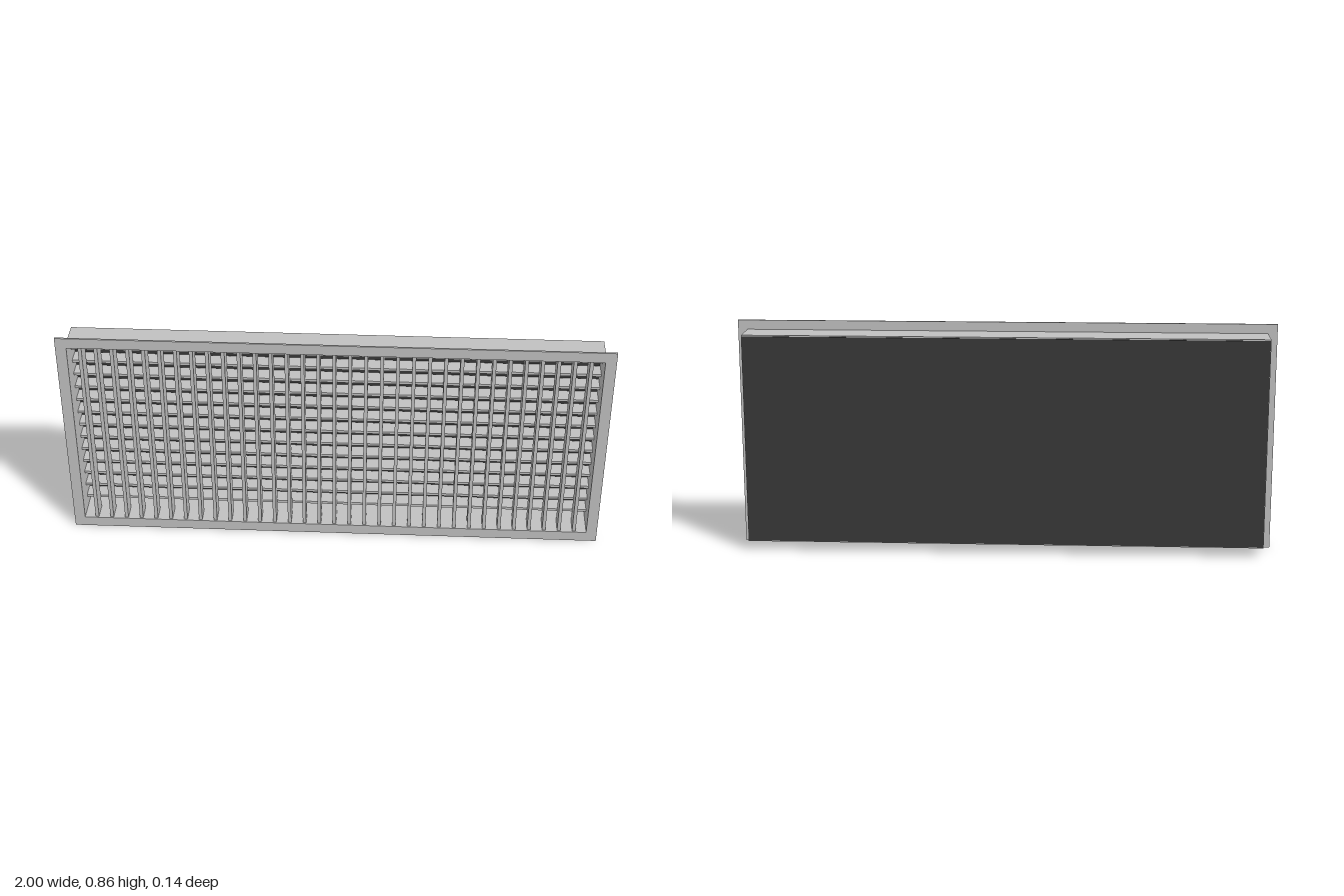
import * as THREE from 'three';

export function createModel() {
  const group = new THREE.Group();
  const metal = new THREE.MeshStandardMaterial({ color: 0xc0c0c0 });
  metal.name = 'satin aluminium';
  const dark = new THREE.MeshStandardMaterial({ color: 0x383838 });
  dark.name = 'dark backing';

  const midY = 0.4285;
  const add = (name, geometry, material, x, y, z) => {
    const mesh = new THREE.Mesh(geometry, material);
    mesh.name = name;
    mesh.position.set(x, y, z);
    group.add(mesh);
  };

  // Rectangular ring extruded along z
  const ring = (w, h, innerW, innerH, depth) => {
    const trace = (path, a, b) => path
      .moveTo(-a / 2, -b / 2).lineTo(a / 2, -b / 2)
      .lineTo(a / 2, b / 2).lineTo(-a / 2, b / 2).closePath();
    const shape = new THREE.Shape();
    trace(shape, w, h);
    const hole = new THREE.Path();
    trace(hole, innerW, innerH);
    shape.holes.push(hole);
    return new THREE.ExtrudeGeometry(shape, { depth, bevelEnabled: false });
  };

  // Front flange and the duct collar behind it
  add('flange', ring(2, 0.857, 1.92, 0.777, 0.007), metal, 0, midY, 0.062);
  add('collar', ring(1.93, 0.787, 1.92, 0.777, 0.125), metal, 0, midY, -0.063);

  // Vertical blades in the front half
  const verticalBlade = new THREE.BoxGeometry(0.013, 0.777, 0.064);
  for (let i = -16; i <= 16; i++) {
    add('verticalBlade', verticalBlade, metal, i * 0.0571, midY, 0.031);
  }

  // Horizontal blades in the rear half
  const horizontalBlade = new THREE.BoxGeometry(1.92, 0.01, 0.056);
  for (let i = -6; i <= 6; i++) {
    add('horizontalBlade', horizontalBlade, metal, 0, midY + i * 0.0568, -0.032);
  }

  // Thin backing plate, set just behind the collar
  add('backPlate', new THREE.BoxGeometry(1.925, 0.779, 0.003), dark, 0, midY, -0.0665);

  return group;
}
